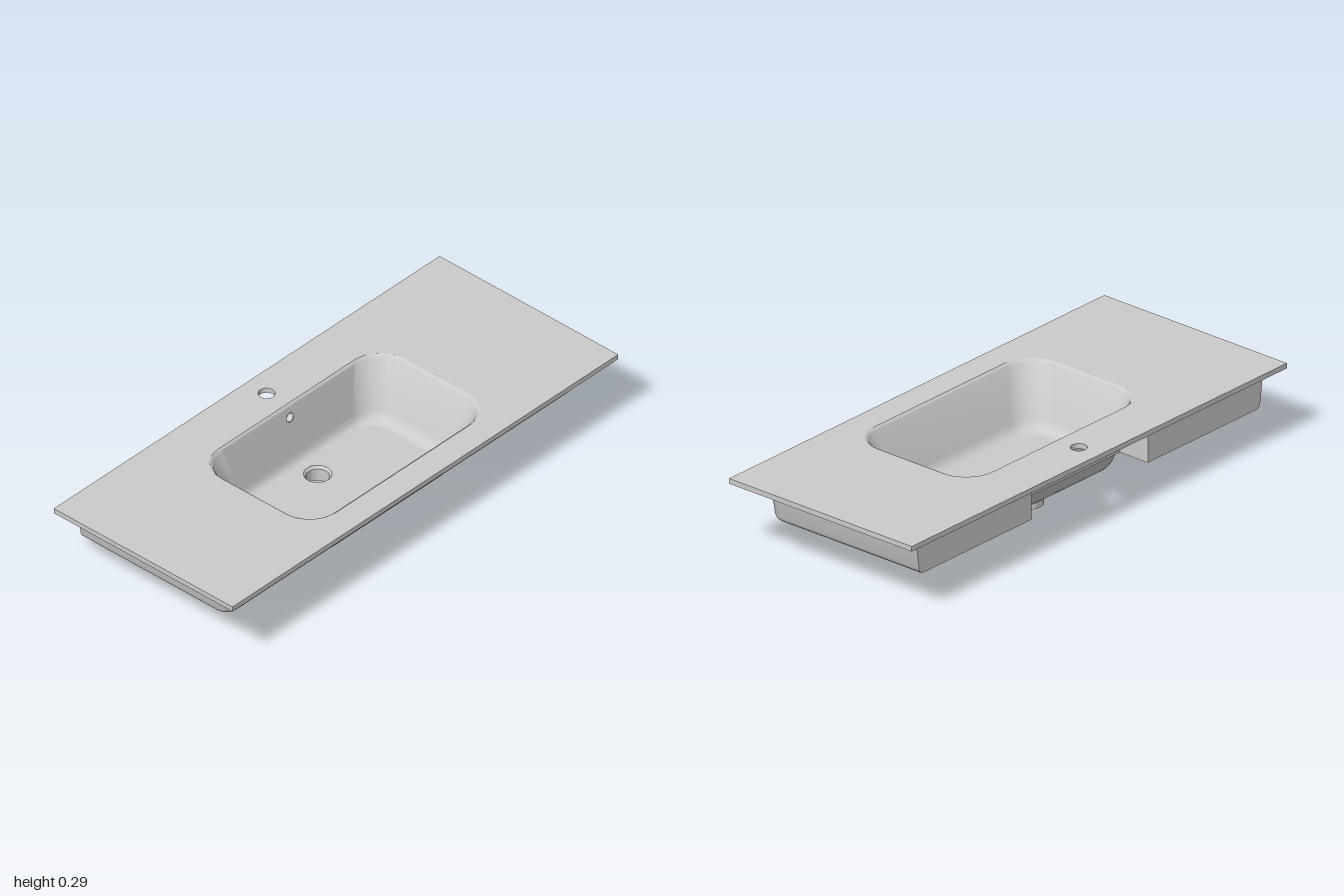
import * as THREE from 'three';
import { toCreasedNormals } from 'three/addons/utils/BufferGeometryUtils.js';

const material = new THREE.MeshStandardMaterial({ color: 0xcccccc, side: THREE.DoubleSide });
const V2 = (x, y) => new THREE.Vector2(x, y);
const ARC = 10; // segments per rounded corner
const TOP = 0.29, SLAB_BASE = 0.27, BODY_BASE = 0.135;
const NOTCH = { half: 0.31, z: -0.25 }, BACK = -0.38;
const DRAIN_Z = -0.087, OVERFLOW = { y: 0.24, r: 0.018 };

function arc(cx, cz, r, quarter) {
  return Array.from({ length: ARC + 1 }, (_, i) => {
    const a = (quarter + i / ARC) * Math.PI / 2;
    return V2(cx + r * Math.cos(a), cz + r * Math.sin(a));
  });
}

// Rounded rectangle in plan (x, z), from front-left corner round to back-left
function roundedPlan(w, front, back, r) {
  return [
    ...arc(w - r, front - r, r, 0), ...arc(-w + r, front - r, r, 1),
    ...arc(-w + r, back + r, r, 2), ...arc(w - r, back + r, r, 3),
  ];
}
const BACK_EDGE = 3 * (ARC + 1) - 1; // index of the straight back edge

// Underbody plan: rounded front corners, square back with a central notch
function bodyPlan(w, front, r) {
  return [
    V2(NOTCH.half, NOTCH.z), V2(NOTCH.half, BACK), V2(w, BACK),
    ...arc(w - r, front - r, r, 0), ...arc(-w + r, front - r, r, 1),
    V2(-w, BACK), V2(-NOTCH.half, BACK), V2(-NOTCH.half, NOTCH.z),
  ];
}

// Skin a stack of plans; rising levels face outward, falling levels inward
function loft(levels, skip = () => false) {
  const n = levels[0].plan.length, pos = [], index = [];
  levels.forEach(({ y, plan }) => plan.forEach(p => pos.push(p.x, y, p.y)));
  for (let l = 0; l < levels.length - 1; l++) {
    for (let i = 0; i < n; i++) {
      if (skip(l, i)) continue;
      const j = (i + 1) % n, a = l * n, b = a + n;
      index.push(a + i, b + i, a + j, a + j, b + i, b + j);
    }
  }
  const g = new THREE.BufferGeometry();
  g.setAttribute('position', new THREE.Float32BufferAttribute(pos, 3));
  g.setIndex(index);
  return toCreasedNormals(g, 0.6);
}

function circle(x, y, r) {
  return new THREE.Path().absarc(x, y, r, 0, Math.PI * 2, true);
}

function shapeOf(points, holes = []) {
  const s = new THREE.Shape(points);
  s.holes.push(...holes);
  return s;
}
const flip = plan => plan.map(p => V2(p.x, -p.y));

export function createModel() {
  const model = new THREE.Group();
  model.name = 'washbasin';
  const add = (name, geometry) => {
    const m = new THREE.Mesh(geometry, material);
    m.name = name;
    model.add(m);
    return m;
  };

  // Bowl inside: y, half width, front z, back z, corner radius
  const inner = [
    [0.29, 0.475, 0.32, -0.235, 0.125], [0.287, 0.469, 0.314, -0.231, 0.122],
    [0.28, 0.464, 0.309, -0.227, 0.12], [0.1, 0.402, 0.245, -0.19, 0.105],
    [0.083, 0.395, 0.237, -0.186, 0.1], [0.071, 0.385, 0.226, -0.18, 0.095],
    [0.063, 0.372, 0.213, -0.171, 0.085], [0.06, 0.357, 0.198, -0.16, 0.075],
  ].map(([y, w, f, b, r]) => ({ y, w, b, r, plan: roundedPlan(w, f, b, r) }));
  add('bowlInside', loft(inner, (l, i) => l === 2 && i === BACK_EDGE));

  // Flat back wall of the bowl, pierced by the overflow
  const hi = inner[2], lo = inner[3];
  const rise = hi.y - lo.y, run = hi.b - lo.b, slope = Math.hypot(rise, run);
  const holeAt = slope * (OVERFLOW.y - lo.y) / rise;
  const backWall = add('bowlBackWall', new THREE.ShapeGeometry(shapeOf([
    V2(-lo.w + lo.r, 0), V2(lo.w - lo.r, 0), V2(hi.w - hi.r, slope), V2(-hi.w + hi.r, slope),
  ], [circle(0, holeAt, OVERFLOW.r)]), 24));
  backWall.position.set(0, lo.y, lo.b);
  backWall.rotation.x = Math.atan2(run, rise);

  // Bowl floor with the drain opening
  const floorLevel = inner[inner.length - 1];
  const floor = add('bowlFloor', new THREE.ShapeGeometry(
    shapeOf(flip(floorLevel.plan), [circle(0, -DRAIN_Z, 0.05)]), 32));
  floor.rotation.x = -Math.PI / 2;
  floor.position.y = floorLevel.y;

  // Countertop slab with bowl opening and tap hole
  const slabShape = shapeOf([V2(-1, -0.425), V2(1, -0.425), V2(1, 0.425), V2(-1, 0.425)], [
    new THREE.Path(flip(inner[0].plan)), circle(0, 0.33, 0.03),
  ]);
  const slab = add('countertop', new THREE.ExtrudeGeometry(slabShape,
    { depth: TOP - SLAB_BASE, bevelEnabled: false, curveSegments: 32 }));
  slab.rotation.x = -Math.PI / 2;
  slab.position.y = SLAB_BASE;

  // Underbody: tapered skirt with a rounded lower edge
  const body = [
    [BODY_BASE, 0.888, 0.296, 0.035], [0.137, 0.897, 0.305, 0.042], [0.143, 0.904, 0.312, 0.047],
    [0.155, 0.909, 0.317, 0.05], [SLAB_BASE, 0.925, 0.33, 0.06],
  ].map(([y, w, f, r]) => ({ y, plan: bodyPlan(w, f, r) }));
  const notchEdge = body[0].plan.length - 1;
  add('underbodySkirt', loft(body, (l, i) => i === notchEdge));

  // Bowl outside, below the underbody
  const outer = [
    [0.045, 0.355, 0.203, -0.16, 0.085], [0.048, 0.373, 0.22, -0.177, 0.1],
    [0.055, 0.387, 0.233, -0.19, 0.11], [0.066, 0.397, 0.244, -0.2, 0.118],
    [0.08, 0.404, 0.253, -0.206, 0.122], [BODY_BASE, 0.432, 0.28, -0.218, 0.13],
  ].map(([y, w, f, b, r]) => ({ y, plan: roundedPlan(w, f, b, r) }));
  add('bowlOutside', loft(outer));

  // Downward-facing panels
  const under = (name, plan, y, hole) => {
    const m = add(name, new THREE.ShapeGeometry(shapeOf(plan, [hole]), 32));
    m.rotation.x = Math.PI / 2;
    m.position.y = y;
  };
  under('underbodyBottom', body[0].plan, BODY_BASE, new THREE.Path(outer[outer.length - 1].plan));
  under('bowlBottom', outer[0].plan, outer[0].y, circle(0, DRAIN_Z, 0.05));

  // Notch wall behind the bowl, with the overflow outlet
  const h = SLAB_BASE - BODY_BASE;
  const notchWall = add('notchWall', new THREE.ShapeGeometry(shapeOf([
    V2(-NOTCH.half, 0), V2(NOTCH.half, 0), V2(NOTCH.half, h), V2(-NOTCH.half, h),
  ], [circle(0, OVERFLOW.y - BODY_BASE, OVERFLOW.r)]), 24));
  notchWall.position.set(0, BODY_BASE, NOTCH.z);
  notchWall.rotation.y = Math.PI;

  // Overflow channel
  const channelFront = -0.219;
  const channel = add('overflowChannel', new THREE.CylinderGeometry(
    OVERFLOW.r, OVERFLOW.r, channelFront - NOTCH.z, 24, 1, true));
  channel.rotation.x = Math.PI / 2;
  channel.position.set(0, OVERFLOW.y, (channelFront + NOTCH.z) / 2);

  // Drain outlet with chamfered seat
  const drain = add('drainOutlet', toCreasedNormals(new THREE.LatheGeometry([
    V2(0.05, 0.06), V2(0.042, 0.05), V2(0.042, 0), V2(0.061, 0), V2(0.061, 0.046),
  ], 40), 0.5));
  drain.position.z = DRAIN_Z;

  return model;
}
